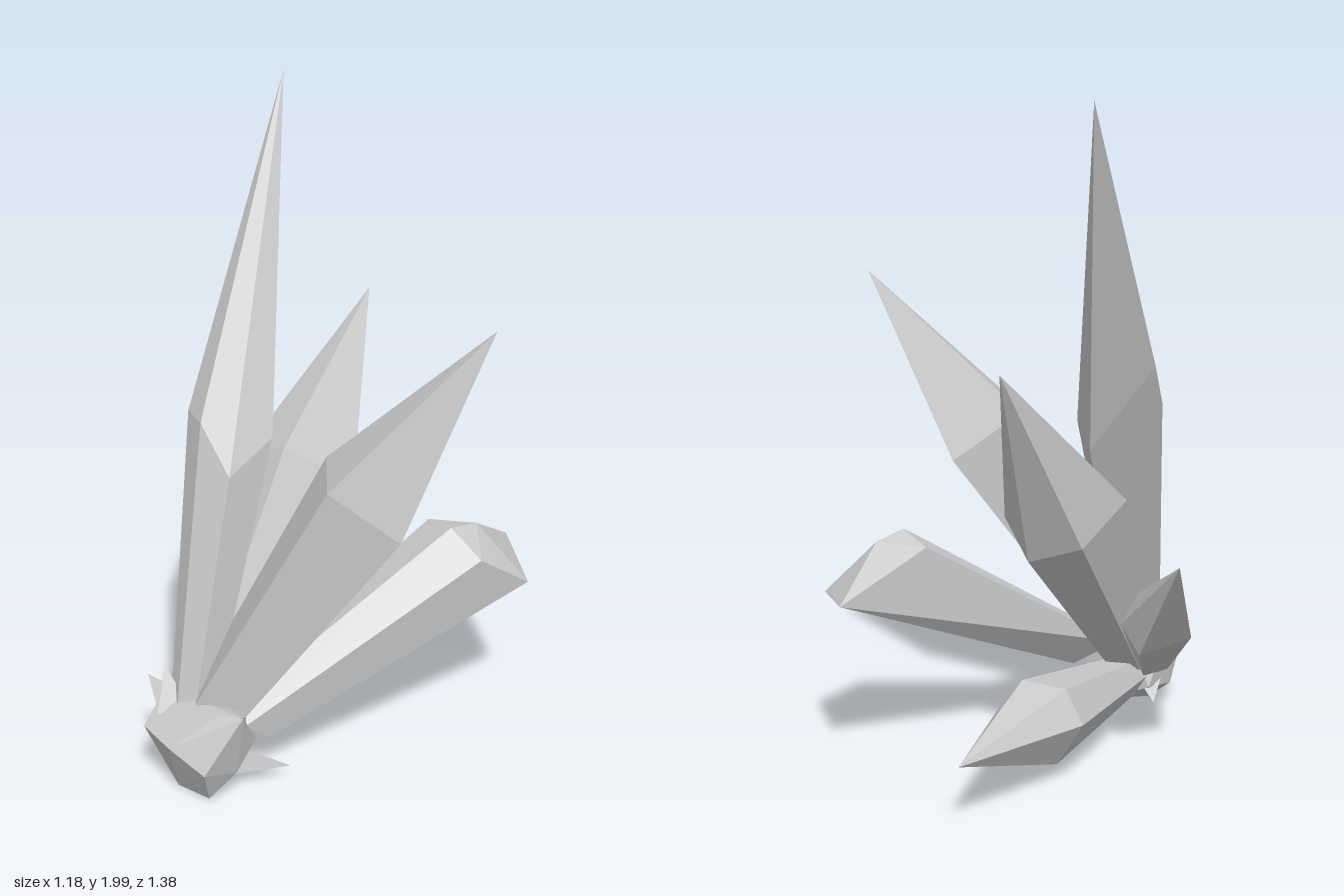
import * as THREE from 'three';
import { ConvexGeometry } from 'three/addons/geometries/ConvexGeometry.js';

const V = (p) => new THREE.Vector3(...p);
const material = new THREE.MeshStandardMaterial({ color: 0xcccccc, flatShading: true });

// Faceted solid wrapped around a handful of corner points
function facet(name, points) {
  const mesh = new THREE.Mesh(new ConvexGeometry(points), material);
  mesh.name = name;
  return mesh;
}

// Crystal: a shoulder ring, the same ring shrunk at the root, and a pointed tip
function crystal(name, root, taper, ring, tip) {
  const shoulder = ring.map(V);
  const mid = shoulder.reduce((s, p) => s.add(p), new THREE.Vector3()).divideScalar(ring.length);
  const foot = shoulder.map((p) => p.clone().sub(mid).multiplyScalar(taper).add(V(root)));
  return facet(name, [...foot, ...shoulder, V(tip)]);
}

// Small three-sided splinter from the rock outwards
function splinter(root, tip, radius) {
  const axis = V(tip).sub(V(root)).normalize();
  const turn = new THREE.Quaternion().setFromUnitVectors(new THREE.Vector3(0, 1, 0), axis);
  const foot = [0, 1, 2].map((i) => {
    const a = (i * Math.PI * 2) / 3;
    return new THREE.Vector3(Math.cos(a) * radius, 0, Math.sin(a) * radius).applyQuaternion(turn).add(V(root));
  });
  return facet('splinter', [...foot, V(tip)]);
}

export function createModel() {
  const group = new THREE.Group();
  group.name = 'crystalCluster';

  group.add(
    crystal('tallCrystal', [-0.17, 0.25, 0.51], 0.5, [
      [-0.41, 1.23, 0.04], [-0.34, 1.08, 0.26], [-0.25, 1.08, 0.32],
      [-0.12, 0.95, 0.36], [-0.09, 1.02, 0.18], [-0.2, 0.96, 0.04],
    ], [-0.36, 2, -0.29]),

    crystal('leftCrystal', [-0.09, 0.26, 0.49], 0.55, [
      [0.12, 1.02, 0.21], [0.26, 1.02, 0.42], [0.43, 0.86, 0.3], [0.3, 0.87, 0.09],
    ], [0.59, 1.46, 0.07]),

    crystal('backCrystal', [-0.16, 0.2, 0.45], 0.5, [
      [0, 0.77, -0.13], [-0.15, 0.92, 0.03], [-0.34, 0.83, 0],
      [-0.29, 0.72, -0.2], [-0.13, 0.67, -0.23],
    ], [-0.19, 1.27, -0.52]),

    crystal('lowBackCrystal', [-0.15, 0.13, 0.45], 0.5, [
      [-0.03, 0.21, -0.22], [-0.1, 0.3, -0.21], [-0.24, 0.29, -0.2],
      [-0.3, 0.19, -0.21], [-0.22, 0.06, -0.22], [-0.08, 0.05, -0.23],
    ], [-0.15, 0.2, -0.69]),

    crystal('rightCrystal', [-0.21, 0.17, 0.5], 0.5, [
      [-0.52, 0.41, 0.08], [-0.47, 0.53, 0.12], [-0.35, 0.53, 0.07],
      [-0.29, 0.42, 0.08], [-0.39, 0.36, -0.01],
    ], [-0.59, 0.7, -0.19]),

    // Chisel-ended crystal, its tip being the low rear corner
    crystal('bluntCrystal', [-0.02, 0.21, 0.44], 0.5, [
      [0.34, 0.7, -0.15], [0.46, 0.63, -0.13], [0.54, 0.51, -0.29],
      [0.46, 0.53, -0.37], [0.22, 0.67, -0.22], [0.37, 0.68, -0.26],
    ], [0.35, 0.54, -0.5]),
  );

  // Rough rock the crystals grow from
  group.add(facet('rockBase', [
    [0.08, 0.32, 0.59], [0, 0.31, 0.6], [-0.12, 0.2, 0.69], [0, 0.14, 0.68],
    [-0.03, 0.02, 0.62], [-0.16, 0.01, 0.6], [-0.25, 0.08, 0.57], [-0.26, 0.2, 0.63],
    [-0.26, 0.28, 0.52], [0.03, 0.1, 0.56], [0.06, 0.2, 0.5], [-0.08, 0.04, 0.43],
    [-0.16, 0.25, 0.43], [-0.23, 0.1, 0.44],
  ].map(V)));

  // Splinters around the rock
  [
    [[-0.02, 0.1, 0.5], [0.1, 0.05, 0.38], 0.05],
    [[-0.2, 0.22, 0.53], [-0.35, 0.28, 0.49], 0.07],
    [[-0.2, 0.24, 0.55], [-0.25, 0.36, 0.53], 0.06],
    [[-0.08, 0.06, 0.5], [0, 0.01, 0.37], 0.04],
    [[0, 0.24, 0.55], [0.09, 0.33, 0.59], 0.07],
    [[-0.2, 0.1, 0.5], [-0.26, 0.06, 0.41], 0.05],
  ].forEach((s) => group.add(splinter(...s)));

  return group;
}
